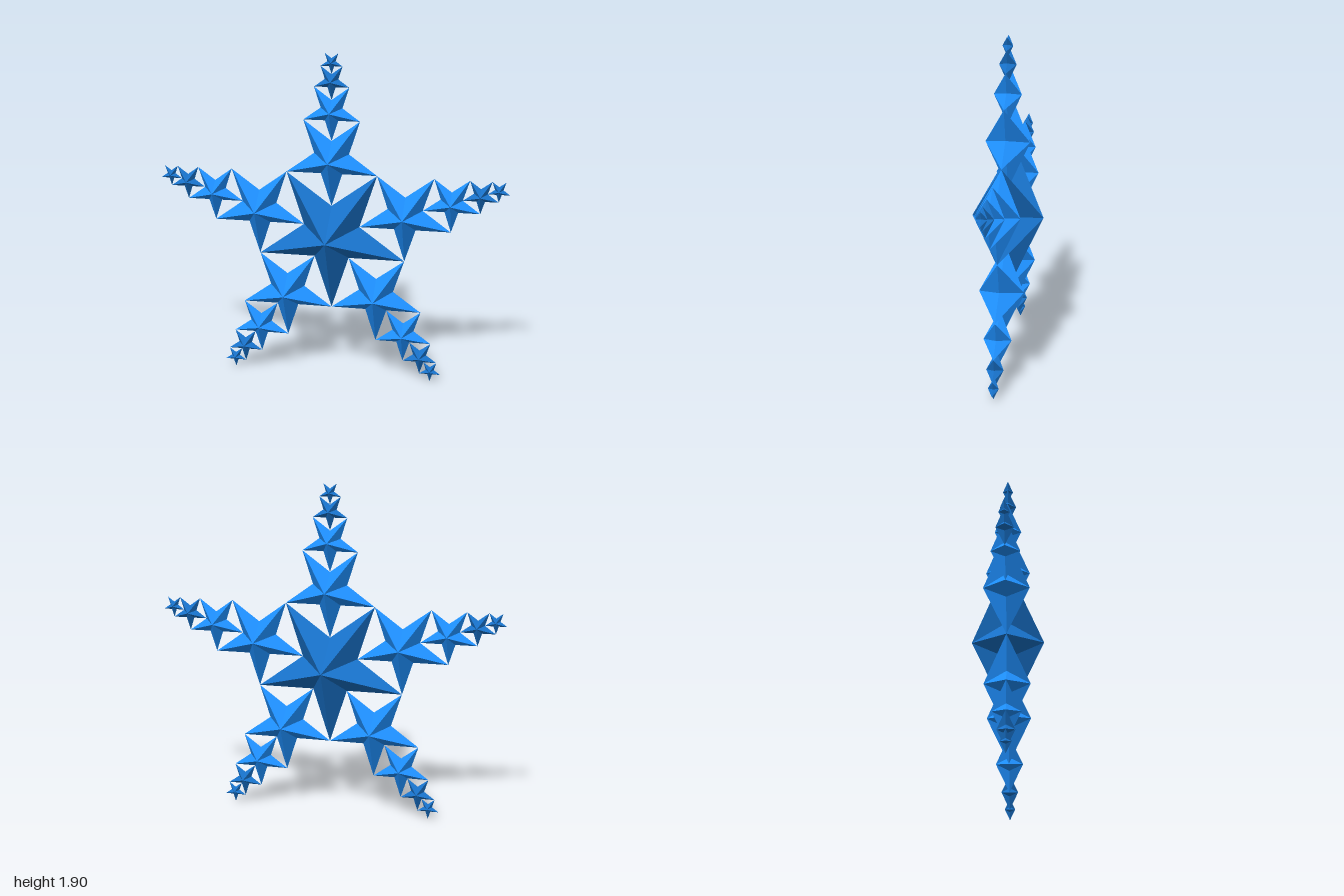
import * as THREE from 'three';

const PHI = (1 + Math.sqrt(5)) / 2;
const R = 0.4415;        // tip radius of the central star
const CENTRE_Y = 0.863;
const DEPTH = 0.464;     // apex height relative to tip radius

// Unit five-pointed star, one tip down, with a raised apex front and back
function starGeometry() {
  const rim = [];
  for (let i = 0; i < 10; i++) {
    const r = i % 2 ? 1 / (PHI * PHI) : 1;
    const a = -Math.PI / 2 + (i * Math.PI) / 5;
    rim.push([r * Math.cos(a), r * Math.sin(a), 0]);
  }
  const positions = [];
  rim.forEach((p, i) => {
    const q = rim[(i + 1) % 10];
    positions.push(...p, ...q, 0, 0, DEPTH);
    positions.push(...q, ...p, 0, 0, -DEPTH);
  });
  const geo = new THREE.BufferGeometry();
  geo.setAttribute('position', new THREE.Float32BufferAttribute(positions, 3));
  geo.computeVertexNormals();
  return geo;
}

export function createModel() {
  const model = new THREE.Group();
  model.name = 'fractalStar';
  const geo = starGeometry();
  const paint = (color) => new THREE.MeshStandardMaterial({ color, flatShading: true });
  const light = paint(0x1e90ff);
  const dark = paint(0x1873cc);

  function addStar(parent, name, radius, x, y, material) {
    const star = new THREE.Mesh(geo, material);
    star.name = name;
    star.scale.setScalar(radius);
    star.position.set(x, y, 0);
    parent.add(star);
  }

  addStar(model, 'centralStar', R, 0, CENTRE_Y, dark);

  // Five arms, each a chain of stars shrinking by the golden ratio
  for (let arm = 0; arm < 5; arm++) {
    const group = new THREE.Group();
    group.name = `arm${arm + 1}`;
    const angle = Math.PI / 2 + (arm * 2 * Math.PI) / 5;
    let distance = 0;
    let radius = R;
    for (let level = 1; level <= 4; level++) {
      distance += radius;
      radius /= PHI;
      addStar(group, `armStar${level}`, radius, distance * Math.cos(angle),
        CENTRE_Y + distance * Math.sin(angle), level < 3 ? light : dark);
    }
    model.add(group);
  }
  return model;
}
